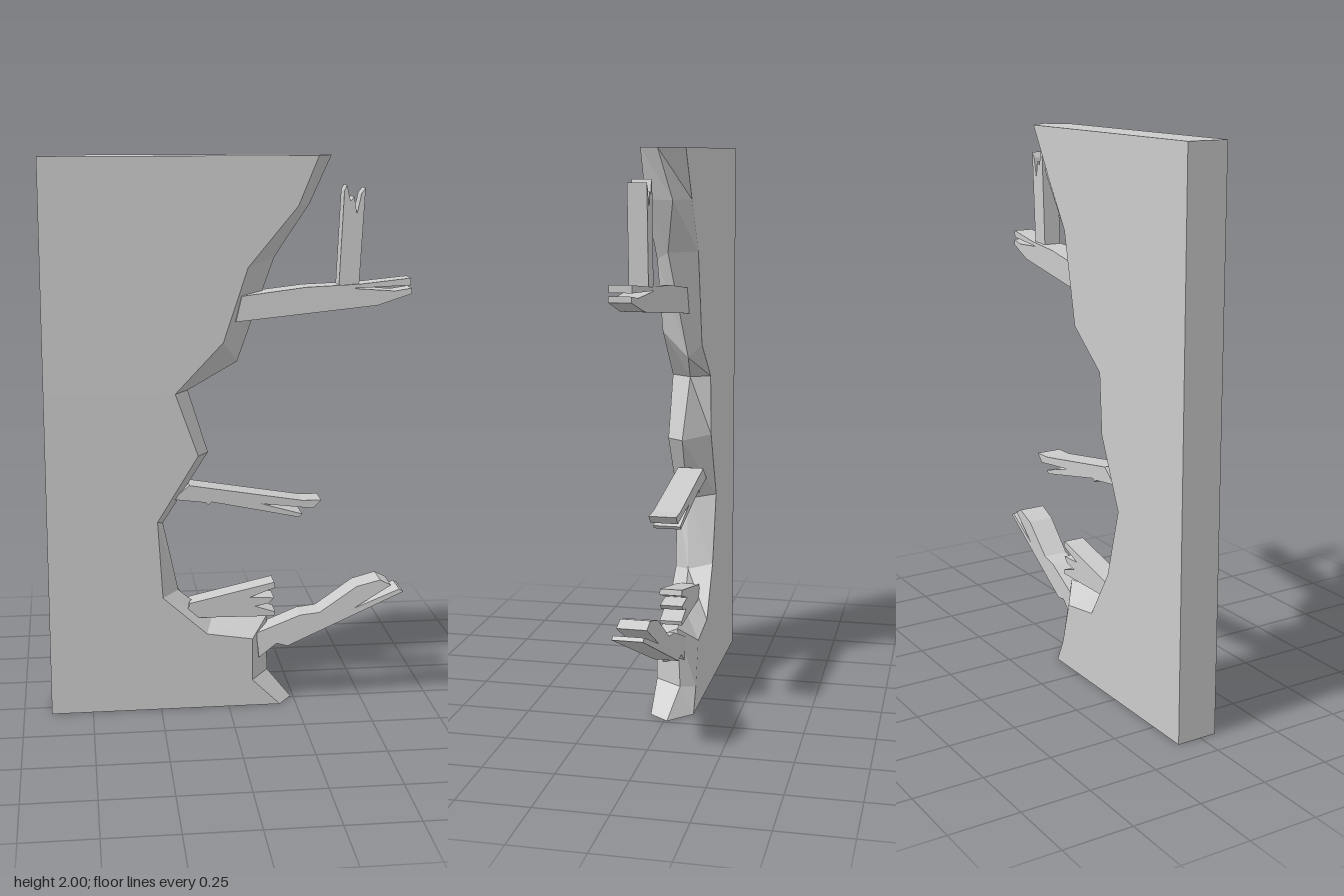
import * as THREE from 'three';

const material = new THREE.MeshStandardMaterial({ color: 0xcccccc, flatShading: true });

const LEFT = -0.65, FRONT = 0.06, BACK = -0.09;

// Broken edge from top to bottom: front x,y | ridge x,y,z | back x,y
const EDGE = [
  [0.31, 2, 0.365, 2, -0.01, 0.30, 2],
  [0.24, 1.83, 0.295, 1.83, -0.045, 0.20, 1.83],
  [0.066, 1.62, 0.165, 1.65, 0, 0.088, 1.65],
  [-0.02, 1.36, 0.04, 1.275, -0.045, 0.02, 1.32],
  [-0.19, 1.18, -0.14, 1.18, -0.015, -0.146, 1.185],
  [-0.11, 0.955, -0.07, 0.955, 0, -0.16, 0.965],
  [-0.257, 0.715, -0.235, 0.70, 0.015, -0.267, 0.715],
  [-0.24, 0.43, -0.18, 0.44, 0, -0.20, 0.46],
  [-0.08, 0.286, -0.055, 0.33, -0.01, -0.09, 0.275],
  [0.087, 0.26, 0.15, 0.315, -0.03, 0.073, 0.25],
  [0.087, 0.10, 0.155, 0.10, -0.04, 0.116, 0.09],
  [0.19, 0, 0.24, 0, -0.01, 0.158, 0],
];

// Wall slab lofted through five-sided sections
function wallGeometry() {
  const rows = EDGE.map(([fx, fy, rx, ry, rz, bx, by]) => [
    [LEFT, by, BACK], [LEFT, fy, FRONT], [fx, fy, FRONT], [rx, ry, rz], [bx, by, BACK],
  ]);
  const points = [];
  const tri = (a, b, c) => points.push(...a, ...b, ...c);
  for (let i = 0; i < rows.length - 1; i++) {
    const top = rows[i], low = rows[i + 1];
    for (let j = 0; j < 5; j++) {
      const k = (j + 1) % 5;
      tri(top[j], low[j], low[k]);
      tri(top[j], low[k], top[k]);
    }
  }
  const first = rows[0], last = rows[rows.length - 1];
  for (let k = 1; k < 4; k++) {
    tri(first[0], first[k], first[k + 1]);
    tri(last[0], last[k + 1], last[k]);
  }
  const g = new THREE.BufferGeometry();
  g.setAttribute('position', new THREE.Float32BufferAttribute(points, 3));
  g.computeVertexNormals();
  return g;
}

// Splintered plank: side outline extruded, with its depth drifting from [back, front] at x0 to x1
function plankGeometry(outline, x0, z0, x1, z1) {
  const shape = new THREE.Shape(outline.map(([x, y]) => new THREE.Vector2(x, y)));
  const g = new THREE.ExtrudeGeometry(shape, { depth: 1, bevelEnabled: false });
  const p = g.attributes.position;
  for (let i = 0; i < p.count; i++) {
    const t = (p.getX(i) - x0) / (x1 - x0), s = p.getZ(i);
    const back = THREE.MathUtils.lerp(z0[0], z1[0], t);
    const front = THREE.MathUtils.lerp(z0[1], z1[1], t);
    p.setZ(i, THREE.MathUtils.lerp(back, front, s));
  }
  g.computeVertexNormals();
  return g;
}

const PLANKS = {
  upperPlank: [[
    [0.025, 1.43], [0.52, 1.485], [0.64, 1.525], [0.64, 1.545], [0.58, 1.535], [0.43, 1.545],
    [0.635, 1.555], [0.635, 1.58], [0.46, 1.56], [0.27, 1.55], [0.045, 1.52],
  ], 0.03, [-0.06, 0.05], 0.64, [0.01, 0.085]],
  uprightPlank: [[
    [0.384, 1.55], [0.455, 1.55], [0.472, 1.89], [0.458, 1.87], [0.443, 1.80], [0.433, 1.86],
    [0.42, 1.845], [0.407, 1.90], [0.398, 1.88],
  ], 0.38, [0, 0.065], 0.47, [0, 0.065]],
  middlePlank: [[
    [-0.20, 0.79], [-0.08, 0.775], [-0.07, 0.765], [-0.06, 0.777], [0.26, 0.71], [0.27, 0.722],
    [0.12, 0.765], [0.31, 0.742], [0.34, 0.772], [0.27, 0.773], [-0.14, 0.84],
  ], -0.2, [-0.065, 0.03], 0.34, [-0.065, 0.03]],
  lowerPlank: [[
    [-0.16, 0.34], [0.17, 0.335], [0.175, 0.35], [0.10, 0.375], [0.15, 0.385], [0.17, 0.405],
    [0.08, 0.41], [0.175, 0.445], [0.17, 0.465], [-0.14, 0.395],
  ], -0.16, [-0.05, 0.03], 0.17, [-0.05, 0.03]],
  bottomPlank: [[
    [0.115, 0.175], [0.18, 0.23], [0.22, 0.22], [0.64, 0.43], [0.625, 0.44], [0.46, 0.365],
    [0.595, 0.455], [0.555, 0.475], [0.47, 0.45], [0.335, 0.35], [0.265, 0.34], [0.105, 0.27],
  ], 0.11, [-0.055, 0.03], 0.64, [-0.02, 0.085]],
};

export function createModel() {
  const model = new THREE.Group();
  model.name = 'brokenWall';
  const add = (name, geometry) => {
    const mesh = new THREE.Mesh(geometry, material);
    mesh.name = name;
    model.add(mesh);
  };
  add('wallSlab', wallGeometry());
  for (const [name, args] of Object.entries(PLANKS)) add(name, plankGeometry(...args));
  return model;
}
